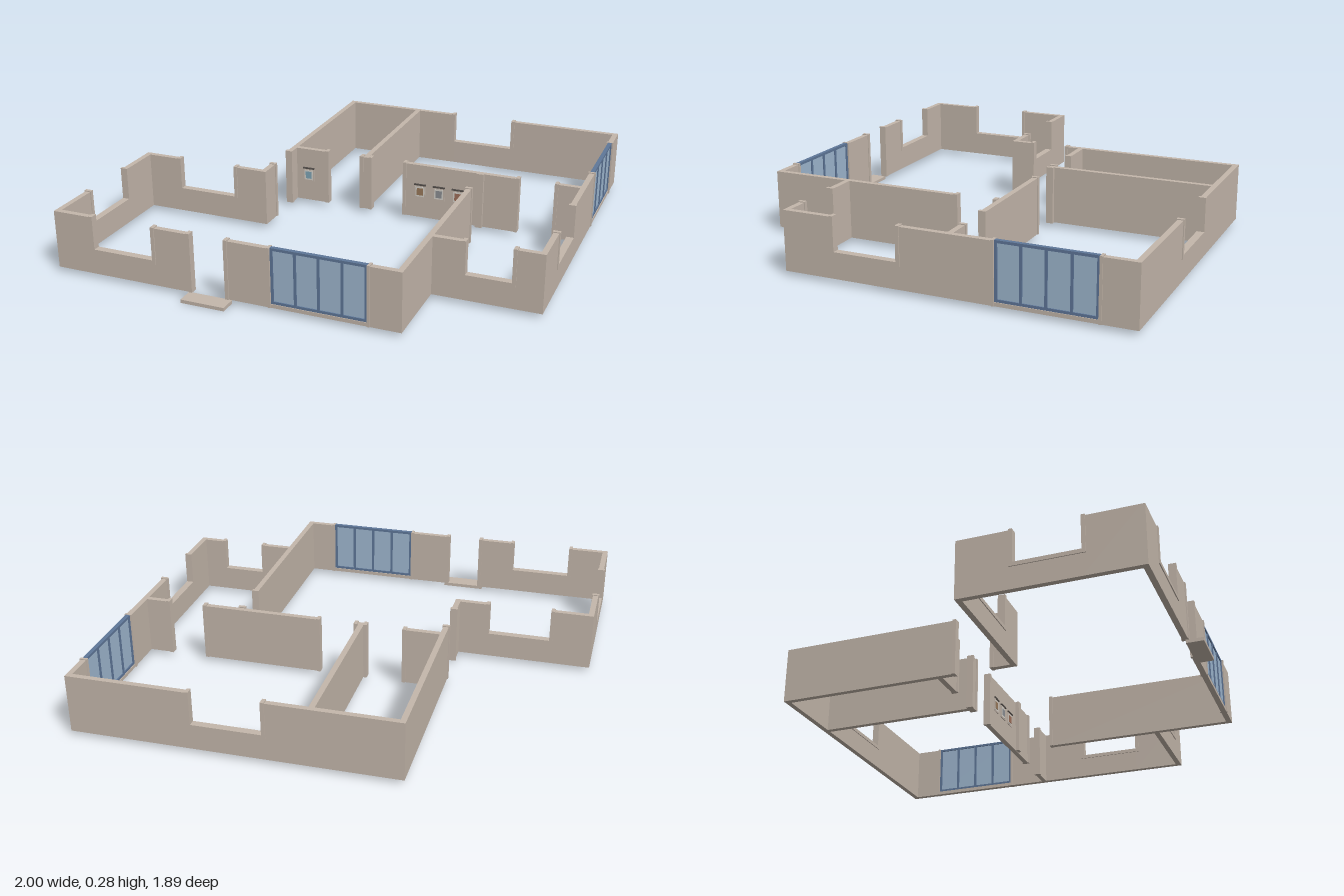
import * as THREE from 'three';

const BASE = 0.02, TOP = 0.275, SILL = 0.13, HALF = 0.012, TRIM = 0.016;

const mat = (color) => new THREE.MeshStandardMaterial({ color });
const wallMat = mat(0xc4b7ab);
const glassMat = mat(0x9fb8d0);
const frameMat = mat(0x5f7799);
const darkMat = mat(0x55504c);
const matBoard = mat(0xd8d4cc);

// Box given by its range along the wall, its height range and its range across the wall
function bar(parent, name, material, axis, a, y, c) {
  const la = a[1] - a[0], ly = y[1] - y[0], lc = c[1] - c[0];
  const ma = (a[0] + a[1]) / 2, my = (y[0] + y[1]) / 2, mc = (c[0] + c[1]) / 2;
  const alongX = axis === 'x';
  const mesh = new THREE.Mesh(new THREE.BoxGeometry(alongX ? la : lc, ly, alongX ? lc : la), material);
  mesh.position.set(alongX ? ma : mc, my, alongX ? mc : ma);
  mesh.name = name;
  parent.add(mesh);
}

const across = (c, half) => [c - half, c + half];

// Upright casing post at the side of an opening or the end of a wall
function post(parent, name, axis, at, c, y0 = BASE, w = 0.016) {
  bar(parent, name, wallMat, axis, [at - w / 2, at + w / 2], [y0, TOP + 0.004], across(c, TRIM));
}

// Low wall with a cased window cut down from the top
function addWindow(parent, axis, c, a, b) {
  const g = new THREE.Group();
  g.name = 'window';
  bar(g, 'wallBelowWindow', wallMat, axis, [a, b], [BASE, SILL], across(c, HALF));
  bar(g, 'windowSill', wallMat, axis, [a - 0.016, b + 0.016], [SILL - 0.014, SILL + 0.003], across(c, TRIM));
  post(g, 'windowCasing', axis, a - 0.008, c, SILL - 0.014);
  post(g, 'windowCasing', axis, b + 0.008, c, SILL - 0.014);
  parent.add(g);
}

// Four-panel glass wall in a slim frame
function addGlazing(parent, axis, c, a, b) {
  const g = new THREE.Group();
  g.name = 'glazing';
  const y0 = 0.036, y1 = TOP + 0.003, t = 0.011;
  bar(g, 'threshold', wallMat, axis, [a, b], [BASE, y0], across(c, HALF));
  bar(g, 'glass', glassMat, axis, [a, b], [y0, y1 - 0.004], across(c, 0.004));
  bar(g, 'bottomRail', frameMat, axis, [a, b], [y0, y0 + t], across(c, 0.009));
  bar(g, 'topRail', frameMat, axis, [a, b], [y1 - t, y1], across(c, 0.009));
  for (let i = 0; i <= 4; i++) {
    const m = a + t / 2 + ((b - a - t) * i) / 4;
    bar(g, 'mullion', frameMat, axis, [m - t / 2, m + t / 2], [y0, y1], across(c, 0.009));
  }
  post(g, 'glazingCasing', axis, a - 0.006, c, BASE, 0.012);
  post(g, 'glazingCasing', axis, b + 0.006, c, BASE, 0.012);
  parent.add(g);
}

// Straight wall; openings are [kind, start, end] in order along the wall
function addWall(parent, name, axis, c, from, to, openings = []) {
  const g = new THREE.Group();
  g.name = name;
  let cursor = from;
  for (const [kind, a, b] of openings) {
    bar(g, 'wallPanel', wallMat, axis, [cursor, a], [BASE, TOP], across(c, HALF));
    if (kind === 'window') addWindow(g, axis, c, a, b);
    else if (kind === 'glass') addGlazing(g, axis, c, a, b);
    else {
      post(g, 'doorCasing', axis, a - 0.006, c);
      post(g, 'doorCasing', axis, b + 0.006, c);
    }
    cursor = b;
  }
  bar(g, 'wallPanel', wallMat, axis, [cursor, to], [BASE, TOP], across(c, HALF));
  parent.add(g);
}

// Small framed picture with a lamp bar above it
function addPicture(parent, x, z, color) {
  const g = new THREE.Group();
  g.name = 'picture';
  const y = 0.147;
  const layer = (name, m, h, depth) =>
    bar(g, name, m, 'x', [x - h, x + h], [y - h * 1.15, y + h * 1.15], [z, z + depth]);
  layer('pictureFrame', wallMat, 0.027, 0.004);
  layer('pictureMount', matBoard, 0.021, 0.005);
  layer('pictureImage', mat(color), 0.015, 0.006);
  bar(g, 'pictureLamp', darkMat, 'x', [x - 0.028, x + 0.028], [0.178, 0.184], [z, z + 0.008]);
  parent.add(g);
}

export function createModel() {
  const house = new THREE.Group();
  house.name = 'housePlan';

  const west = -0.984, east = 0.981, south = 0.867, north = -0.93;
  const innerWest = -0.39, innerEast = 0.524, hall = -0.193, wing = 0.145, nook = 0.522;

  // Outer walls
  addWall(house, 'northWall', 'x', north, innerWest - HALF, east + HALF, [['window', 0.17, 0.465]]);
  addWall(house, 'eastWall', 'z', east, north, nook + HALF, [
    ['glass', -0.79, -0.38], ['window', 0.03, 0.305]]);
  addWall(house, 'nookWall', 'x', nook, innerEast, east, [['window', 0.675, 0.865]]);
  addWall(house, 'innerEastWall', 'z', innerEast, 0.005, south + HALF);
  addWall(house, 'southWall', 'x', south, west - HALF, innerEast + HALF, [
    ['window', -0.81, -0.537], ['door', -0.362, -0.208], ['glass', -0.01, 0.395]]);
  addWall(house, 'westWall', 'z', west, wing - HALF, south, [['window', 0.365, 0.635]]);
  addWall(house, 'wingWall', 'x', wing, west, innerWest + HALF, [['window', -0.81, -0.537]]);
  addWall(house, 'innerWestWall', 'z', innerWest, north, wing, [['door', -0.117, 0.045]]);

  // Interior walls
  addWall(house, 'partitionWall', 'z', -0.03, north, hall);
  addWall(house, 'hallWall', 'x', hall, innerWest, east, [
    ['door', -0.217, -0.055], ['door', 0.0, 0.157], ['door', 0.698, 0.86]]);

  // Facing posts of the opening between hall and side room
  post(house, 'openingPost', 'z', 0.003, innerEast);
  post(house, 'openingPost', 'z', -0.172, innerEast);

  // Pictures on the hall wall
  const face = hall + HALF;
  addPicture(house, -0.317, face, 0x7fa6b8);
  [0x9a7a5c, 0x8d9094, 0xa0705a].forEach((c, i) => addPicture(house, 0.24 + i * 0.09, face, c));

  // Entrance step
  bar(house, 'entranceStep', wallMat, 'x', [-0.38, -0.186], [0, 0.015], [0.87, 0.943]);

  return house;
}
